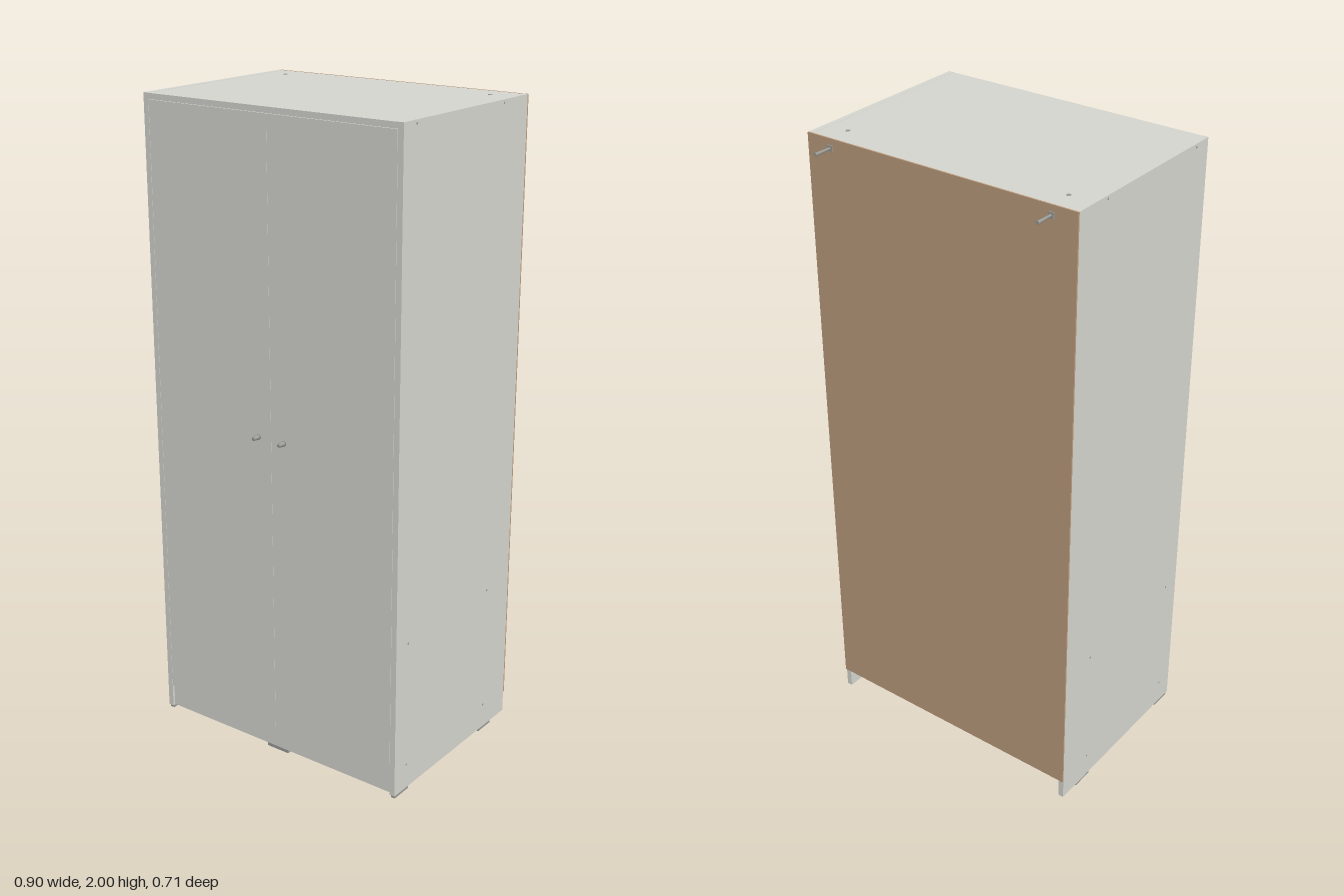
import * as THREE from 'three';

const mat = (name, color) => {
  const m = new THREE.MeshStandardMaterial({ color });
  m.name = name;
  return m;
};

export function createModel() {
  const root = new THREE.Group();
  root.name = 'wardrobe';
  const white = mat('white board', 0xd5d5cf);
  const brown = mat('raw fibreboard', 0xbc9c7d);
  const metal = mat('grey metal', 0x9a9a96);
  // white board with a raw underside (box face order: +x -x +y -y +z -z)
  const rawBottom = [white, white, white, brown, white, white];

  const W = 0.45, T = 0.018, FRONT = 0.33, BACK = -0.295, SKIN = 0.005;
  const inner = W - T;

  const add = (name, geometry, material, x = 0, y = 0, z = 0, parent = root) => {
    const mesh = new THREE.Mesh(geometry, material);
    mesh.name = name;
    mesh.position.set(x, y, z);
    parent.add(mesh);
    return mesh;
  };
  // box given by its limits on each axis
  const board = (name, material, x0, x1, y0, y1, z0, z1) =>
    add(name, new THREE.BoxGeometry(x1 - x0, y1 - y0, z1 - z0), material,
      (x0 + x1) / 2, (y0 + y1) / 2, (z0 + z1) / 2);

  // carcass
  for (const s of [-1, 1]) {
    const [a, b] = s < 0 ? [-W, -inner] : [inner, W];
    board(s < 0 ? 'rightSide' : 'leftSide', rawBottom, a, b, 0.01, 2, BACK + SKIN, FRONT);
  }
  board('topPanel', white, -inner, inner, 2 - T, 1.9995, BACK + SKIN, FRONT);
  board('bottomPanel', white, -inner, inner, 0.075, 0.085, BACK + SKIN, FRONT - 0.03);
  board('fixedShelf', white, -inner, inner, 0.485, 0.503, BACK + SKIN, FRONT - 0.03);
  board('backPanel', brown, -W, W, 0.077, 2, BACK, BACK + SKIN);
  board('plinth', rawBottom, -inner, inner, 0.012, 0.084, FRONT - 0.026, FRONT - 0.008);
  board('middleRail', rawBottom, -inner, inner, 0.012, 0.075, -0.085, -0.067);

  // inset doors with tapered knobs
  const knobProfile = [[0, 0], [0.0085, 0], [0.008, 0.006], [0.006, 0.023], [0.005, 0.025], [0, 0.025]]
    .map(([r, h]) => new THREE.Vector2(r, h));
  const knobGeometry = new THREE.LatheGeometry(knobProfile, 16);
  for (const s of [-1, 1]) {
    const side = s < 0 ? 'right' : 'left';
    const [a, b] = s < 0 ? [-inner + 0.001, -0.0003] : [0.0003, inner - 0.001];
    board(side + 'Door', white, a, b, 0.086, 2 - T - 0.001, FRONT - T, FRONT);
    add(side + 'Knob', knobGeometry, metal, s * 0.047, 1.04, FRONT).rotation.x = Math.PI / 2;
  }

  // floor glides
  for (const s of [-1, 1])
    for (const [z, d] of [[0.29, 0.07], [-0.18, 0.07]])
      add('sideGlide', new THREE.BoxGeometry(0.014, 0.01, d), metal, s * (W - T / 2), 0.005, z);
  for (const z of [FRONT - 0.017, -0.076])
    add('railGlide', new THREE.BoxGeometry(0.08, 0.012, 0.014), metal, 0, 0.006, z);

  // flush screw heads on the sides
  const screwGeometry = new THREE.CylinderGeometry(0.0035, 0.0035, 0.001, 12);
  for (const s of [-1, 1])
    for (const y of [0.09, 0.494, 1.99])
      for (const z of [0.27, -0.163])
        add('sideScrew', screwGeometry, metal, s * W, y, z).rotation.z = Math.PI / 2;

  // wall anchors: angle under the top, wall screw with plug, fixing screw
  for (const s of [-1, 1]) {
    const anchor = new THREE.Group();
    anchor.name = s < 0 ? 'rightWallAnchor' : 'leftWallAnchor';
    anchor.position.x = s * 0.369;
    root.add(anchor);
    add('anchorArm', new THREE.BoxGeometry(0.016, 0.003, 0.08), metal, 0, 1.9795, -0.25, anchor);
    add('anchorFlange', new THREE.BoxGeometry(0.018, 0.018, 0.004), metal, 0, 1.972, BACK - 0.001, anchor);
    add('wallPlug', new THREE.CylinderGeometry(0.0055, 0.0035, 0.058, 12), metal, 0, 1.972, -0.326, anchor)
      .rotation.x = -Math.PI / 2;
    add('anchorScrew', new THREE.CylinderGeometry(0.007, 0.007, 0.001, 12), metal, 0, 1.9995, -0.22, anchor);
  }
  return root;
}
